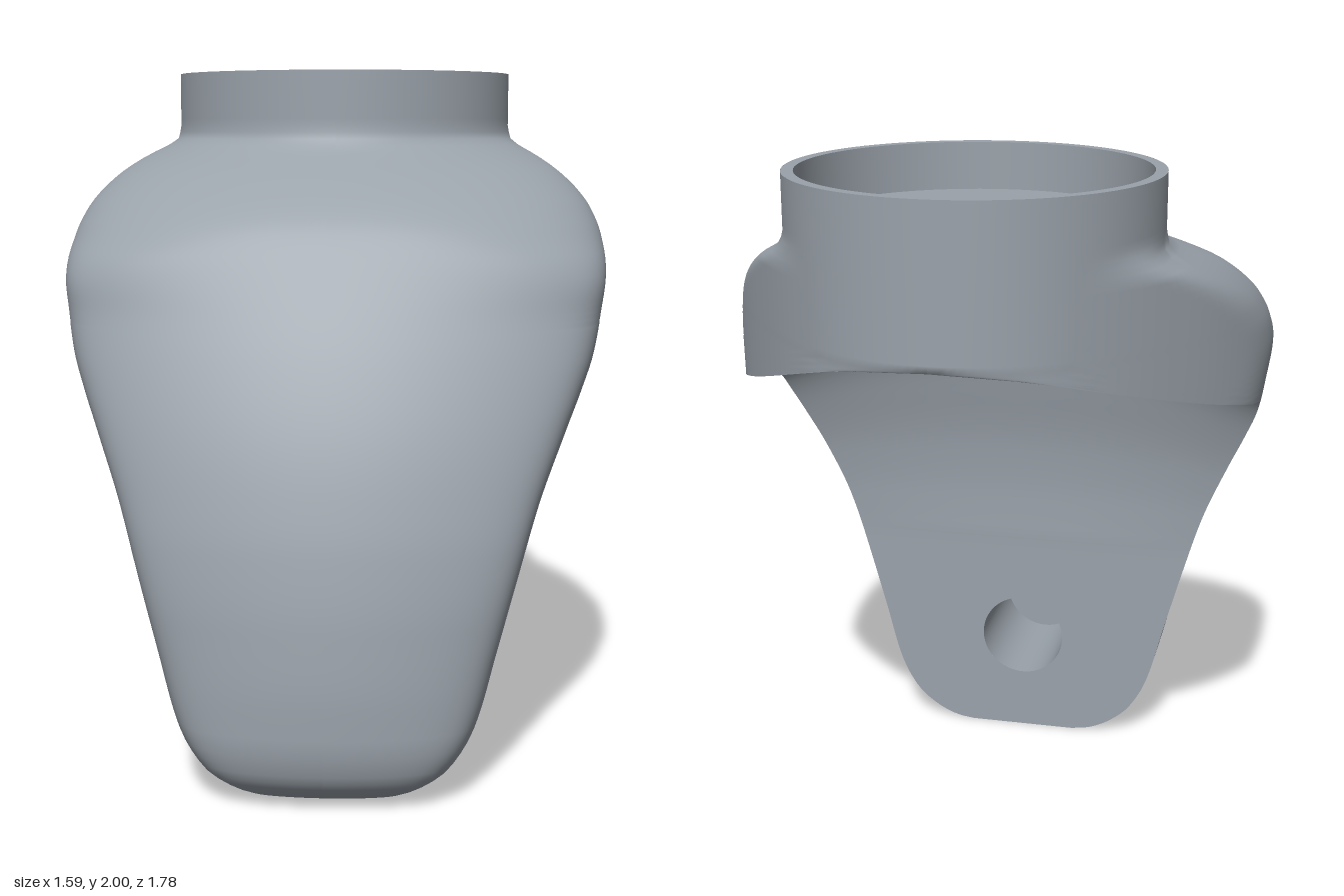
import * as THREE from 'three';

const COLLAR_R = 0.524, COLLAR_Z = -0.363, BACK_Z = COLLAR_Z - COLLAR_R;

// Monotone cubic interpolation through [position, value] pairs
function curve(pts) {
  const slope = (i) => (pts[i + 1][1] - pts[i][1]) / (pts[i + 1][0] - pts[i][0]);
  const tangent = (i) => {
    if (i === 0) return slope(0);
    if (i === pts.length - 1) return slope(i - 1);
    const a = slope(i - 1), b = slope(i);
    return a * b <= 0 ? 0 : (2 * a * b) / (a + b);
  };
  const tan = pts.map((_, i) => tangent(i));
  return (y) => {
    if (y <= pts[0][0]) return pts[0][1];
    if (y >= pts[pts.length - 1][0]) return pts[pts.length - 1][1];
    let i = 0;
    while (y > pts[i + 1][0]) i++;
    const h = pts[i + 1][0] - pts[i][0], t = (y - pts[i][0]) / h;
    const t2 = t * t, t3 = t2 * t;
    return (2 * t3 - 3 * t2 + 1) * pts[i][1] + (t3 - 2 * t2 + t) * h * tan[i]
      + (3 * t2 - 2 * t3) * pts[i + 1][1] + (t3 - t2) * h * tan[i + 1];
  };
}

// Body measurements by height
const width = curve([[0, 0.17], [0.008, 0.225], [0.05, 0.31], [0.1, 0.365], [0.2, 0.42], [0.4, 0.475],
  [0.6, 0.53], [0.8, 0.59], [1, 0.673], [1.1, 0.718], [1.2, 0.757], [1.3, 0.778], [1.45, 0.795],
  [1.52, 0.787], [1.6, 0.757], [1.65, 0.722], [1.7, 0.672], [1.75, 0.605], [1.78, 0.555], [1.8, 0.533], [1.84, COLLAR_R]]);
const frontZ = curve([[0, 0.7], [0.008, 0.745], [0.02, 0.78], [0.05, 0.825], [0.1, 0.865], [0.2, 0.887],
  [0.3, 0.888], [0.5, 0.875], [0.7, 0.845], [0.85, 0.81], [1, 0.765], [1.2, 0.685], [1.4, 0.583],
  [1.55, 0.492], [1.6, 0.445], [1.65, 0.382], [1.7, 0.307], [1.75, 0.22], [1.78, 0.178], [1.8, 0.167], [1.84, 0.161]]);
const widestZ = curve([[0, 0.29], [0.7, 0.29], [1, 0.14], [1.3, 0.01], [1.55, 0], [1.7, -0.1],
  [1.75, -0.2], [1.8, COLLAR_Z]]);
const undersideZ = curve([[0, 0.29], [0.65, 0.29], [0.8, 0.283], [0.95, 0.262], [1.1, 0.217], [1.21, 0.16],
  [1.265, 0.1], [1.29, 0.03], [1.3, -0.06], [1.32, -0.16], [1.38, -0.39], [1.46, -0.63], [1.56, BACK_Z]]);
const cornerPower = curve([[0, 5], [0.2, 6], [0.6, 9], [1.2, 9], [1.35, 6], [1.45, 3.8], [1.53, 2.7],
  [1.6, 2.3], [1.7, 2.1], [1.8, 2]]);
const frontRadius = curve([[0, 1], [0.3, 1], [0.74, 1.35], [1.17, 1.6], [1.3, 1.75], [1.5, 3], [1.8, 6]]);
const hollow = curve([[0.7, 0], [1.1, 0.08], [1.29, 0.15], [1.4, 0.09], [1.56, 0]]);
const shoulderFade = curve([[1.76, 1], [1.8, 0.5], [1.83, 0]]);

// Plan outline of the shoulders running back to the collar, by depth
const shoulder = curve([[BACK_Z, 0], [-0.8, 0.27], [-0.72, 0.385], [-0.45, 0.61], [-0.27, 0.72],
  [-0.1, 0.797], [0.05, 0.85]]);

function smoothMin(a, b, k) {
  const h = Math.max(k - Math.abs(a - b), 0) / k;
  return Math.min(a, b) - h * h * k / 4;
}

// Half width of the body at a height and depth, merged with the round collar
function halfWidth(y, z) {
  const round = Math.sqrt(Math.max(0, COLLAR_R ** 2 - (z - COLLAR_Z) ** 2));
  if (y > 1.83) return round;
  const zw = widestZ(y), zf = frontZ(y), n = cornerPower(y), r = frontRadius(y);
  const u = Math.max(0, (z - zw) / (zf - zw));
  const side = width(y) * Math.pow(Math.max(0, 1 - Math.pow(u, n)), 1 / n);
  const arc = Math.sqrt(Math.max(0, r * r - Math.max(0, z - zf + r) ** 2));
  // Rounded corner between the side wall and the gently curved front
  const body = side * arc / Math.pow(side ** 8 + arc ** 8 + 1e-30, 1 / 8);
  const merged = Math.max(smoothMin(body, shoulder(z), 0.05), round);
  return z < COLLAR_Z ? round + (merged - round) * shoulderFade(y) : merged;
}

// Right-hand side of one horizontal section, from back to front
function section(y, steps = 80) {
  const zb = undersideZ(y), zf = frontZ(y), pts = [];
  for (let i = 0; i <= steps; i++) {
    const s = i / steps;
    const z = zb + (zf - zb) * (1 - Math.pow(1 - s * s, 3));
    pts.push([i === steps ? 0 : halfWidth(y, z), y, z]);
  }
  return pts;
}

// Smooth surface through rows of points
function grid(rows) {
  const n = rows[0].length, index = [];
  for (let i = 0; i < rows.length - 1; i++) {
    for (let j = 0; j < n - 1; j++) {
      const a = i * n + j, b = a + n;
      index.push(a, b, a + 1, a + 1, b, b + 1);
    }
  }
  const g = new THREE.BufferGeometry();
  g.setAttribute('position', new THREE.Float32BufferAttribute(rows.flat(2), 3));
  g.setIndex(index);
  g.computeVertexNormals();
  return g;
}

export function createModel() {
  const group = new THREE.Group();
  const metal = new THREE.MeshStandardMaterial({ color: 0x9aa2aa, side: THREE.DoubleSide });
  metal.name = 'blueGrey';
  const add = (name, geometry, parent = group) => {
    const mesh = new THREE.Mesh(geometry, metal);
    mesh.name = name;
    parent.add(mesh);
    return mesh;
  };
  // Turned part with sharp corners: one lathe per profile segment
  const turned = (name, profile) => {
    const part = new THREE.Group();
    part.name = name;
    for (let i = 0; i < profile.length - 1; i++) {
      const pts = [profile[i], profile[i + 1]].map(([x, y]) => new THREE.Vector2(x, y));
      add(name + 'Face', new THREE.LatheGeometry(pts, 96), part);
    }
    group.add(part);
    return part;
  };

  // Heights of the sections, closer together around the foot
  const heights = [];
  for (let i = 0; i < 12; i++) heights.push(0.2 * (i / 12) ** 2);
  for (let i = 10; i <= 100; i++) heights.push(i / 50);

  // Outer wall of the body and collar
  const mirror = ([x, y, z]) => [-x, y, z];
  add('bodyWall', grid(heights.map((y) => {
    const half = section(y);
    return [...half, ...half.slice(0, -1).reverse().map(mirror)];
  })));

  // Flat underside of the foot
  add('footBase', grid(section(0).map((p) => [p, mirror(p)])));

  // Underside sweeping from the foot to the back of the collar, hollowed in the middle
  const backEdge = (y) => [halfWidth(y, undersideZ(y)), y, undersideZ(y)];
  add('curvedUnderside', grid(heights.filter((y) => y > 0.63 && y < 1.57).map((y) => {
    const [w, , z] = backEdge(y), row = [];
    for (let j = 0; j <= 24; j++) {
      const t = j / 12 - 1, lift = hollow(y) * (1 - t * t);
      row.push([w * t, y + lift * 0.9, z + lift * 0.4]);
    }
    return row;
  })));

  // Flat back face with a round hole
  const edge = heights.filter((y) => y < 0.65).map((y) => new THREE.Vector2(backEdge(y)[0], y));
  const face = new THREE.Shape([...edge, ...edge.slice().reverse().map((p) => new THREE.Vector2(-p.x, p.y))]);
  const holeY = 0.33, holeR = 0.135;
  face.holes.push(new THREE.Path().absarc(0, holeY, holeR, 0, Math.PI * 2, true));
  const back = add('backFace', new THREE.ShapeGeometry(face, 32));
  back.rotation.y = Math.PI;
  back.position.z = 0.29;

  // Blind bore behind the hole
  const bore = turned('bore', [[0, 0.4], [holeR, 0.4], [holeR, 0]]);
  bore.rotation.x = Math.PI / 2;
  bore.position.set(0, holeY, 0.29);

  // Collar rim and shallow recess
  const rim = turned('collarRim', [[COLLAR_R, 2], [0.49, 2], [0.49, 1.86], [0, 1.86]]);
  rim.position.z = COLLAR_Z;

  return group;
}
